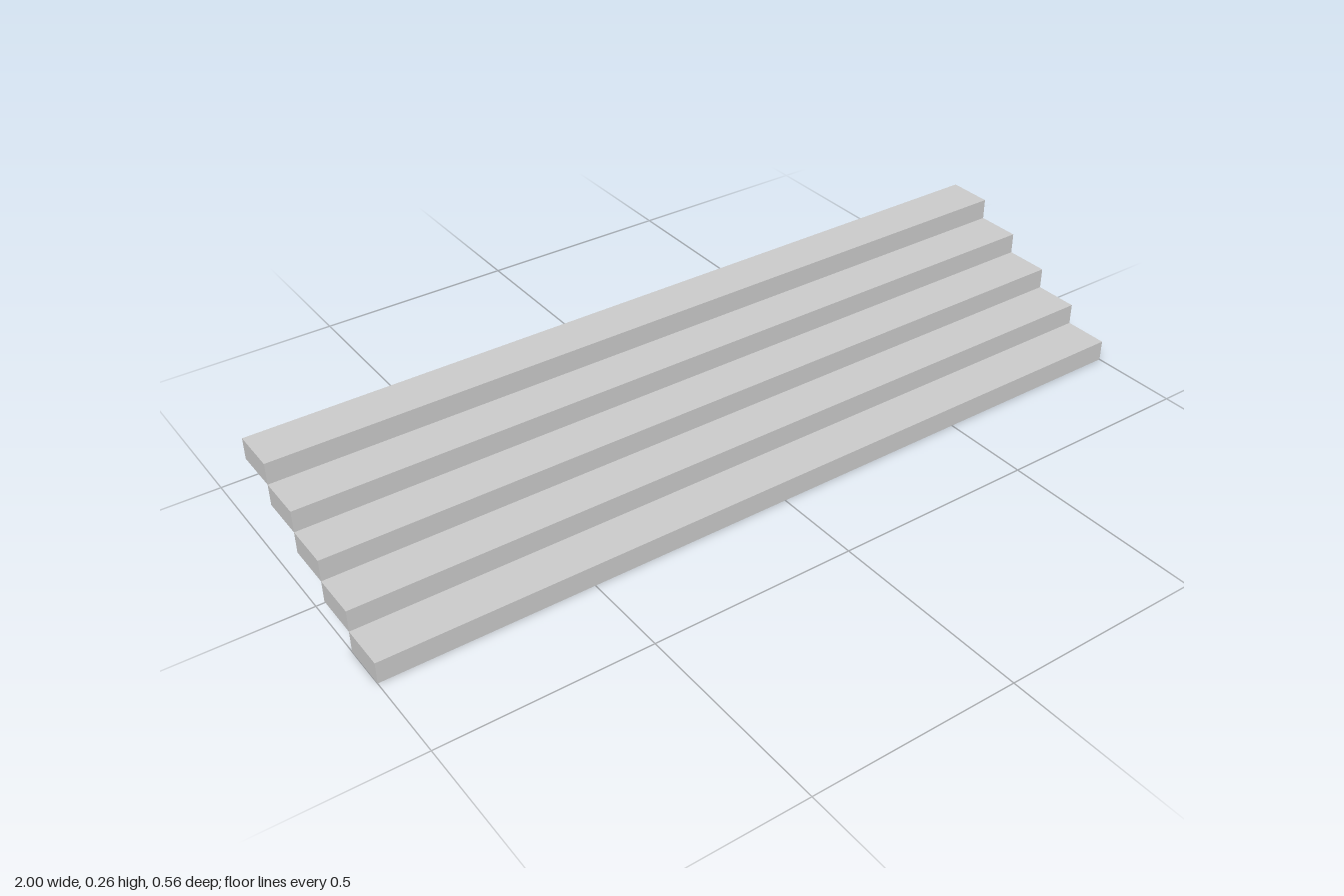
import * as THREE from 'three';

// Straight flight of five solid treads, rising from front to back
export function createModel() {
  const group = new THREE.Group();
  group.name = 'stairs';
  const material = new THREE.MeshStandardMaterial({ color: 0xcccccc, flatShading: true });

  const count = 5, width = 2, rise = 0.0522, run = 0.112;
  const geometry = new THREE.BoxGeometry(width, rise, run);

  // Each tread sits one rise up and one run behind the previous one
  for (let i = 0; i < count; i++) {
    const step = new THREE.Mesh(geometry, material);
    step.name = `step${i + 1}`;
    step.position.set(0, (i + 0.5) * rise, ((count - 1) / 2 - i) * run);
    group.add(step);
  }
  return group;
}
